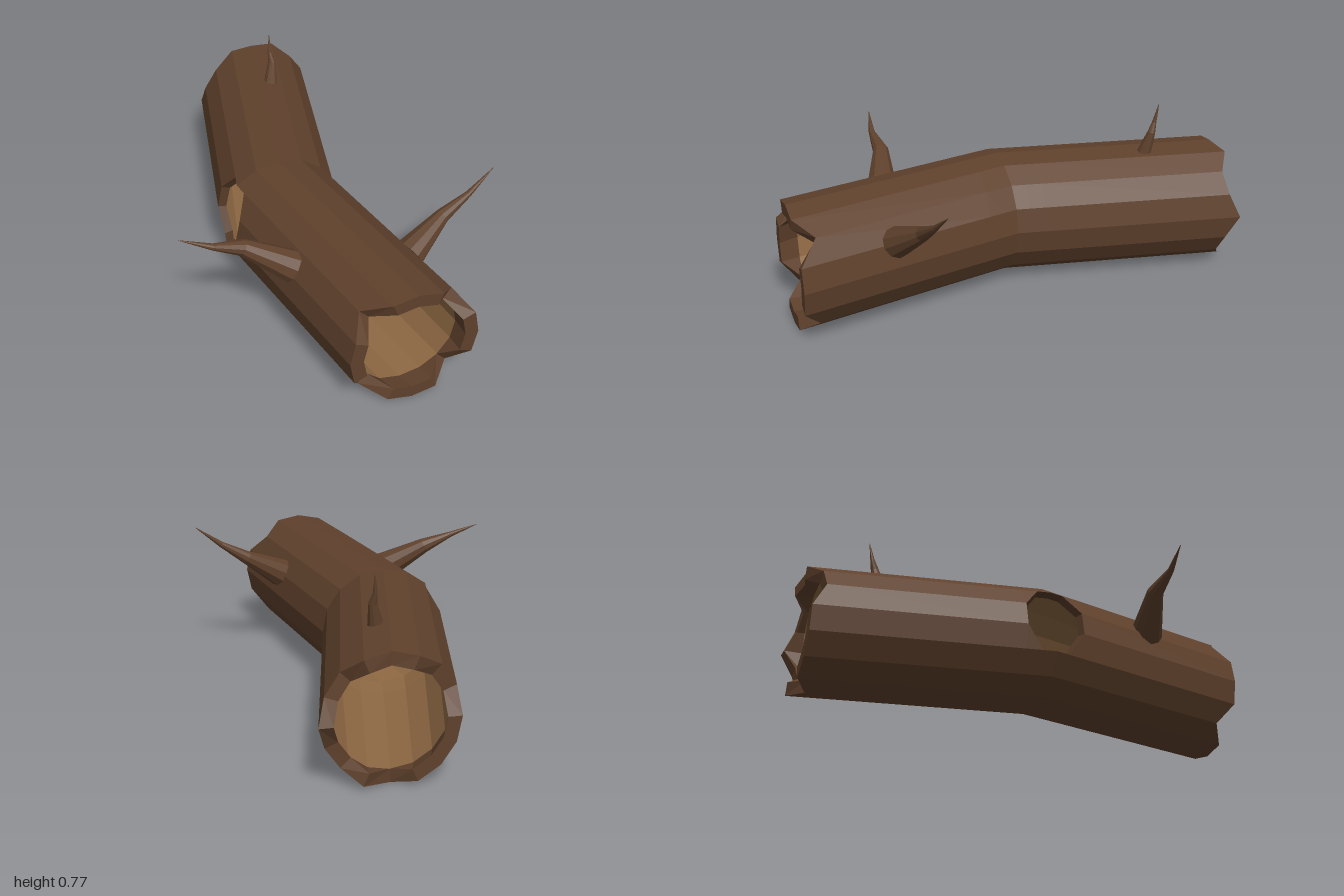
import * as THREE from 'three';

const SIDES = 16, R = 0.2775, LIP = 0.22;

const mat = (name, color) => Object.assign(new THREE.MeshStandardMaterial({ color, flatShading: true }), { name });

// Skin consecutive closed loops; drop(row, i) gives -1 to omit a cell, 0-3 to cut one corner
function loft(rows, flip = false, drop = () => null) {
  const pos = [];
  const tri = (a, b, c) => (flip ? [a, c, b] : [a, b, c]).forEach(p => pos.push(p.x, p.y, p.z));
  for (let j = 0; j < rows.length - 1; j++) {
    const n = rows[j].length;
    for (let i = 0; i < n; i++) {
      const k = (i + 1) % n, d = drop(j, i);
      const q = [rows[j][i], rows[j][k], rows[j + 1][k], rows[j + 1][i]];
      if (d === -1) continue;
      if (d === null) {
        tri(q[0], q[1], q[2]);
        tri(q[0], q[2], q[3]);
      } else tri(...q.filter((_, m) => m !== d));
    }
  }
  const g = new THREE.BufferGeometry();
  g.setAttribute('position', new THREE.Float32BufferAttribute(pos, 3));
  g.computeVertexNormals();
  return g;
}

// Point on the bent log
function logPoint(i, z, r) {
  const a = i / SIDES * Math.PI * 2;
  const cx = 0.105 - 0.21 * (1 - Math.abs(z));
  return new THREE.Vector3(cx + r * Math.cos(a), R + r * Math.sin(a), z);
}
const ring = (r, z) => Array.from({ length: SIDES }, (_, i) => logPoint(i, typeof z === 'function' ? z(i) : z, r));

// Broken ends: depth of the notch at each corner
const frontNotch = { 2: 0.08, 6: 0.08, 10: 0.075, 14: 0.075 };
const backNotch = { 1: 0.045, 2: 0.055, 4: 0.02, 6: 0.05, 7: 0.055, 12: 0.055, 14: 0.055, 15: 0.05 };
const frontZ = i => 1 - (frontNotch[i] || 0);
const backZ = i => -1 + (backNotch[i] || 0);

// Knothole: an octagon cut from the cells around the outer side of the bend
const holeZ = [-0.13, -0.06, 0, 0.06, 0.13];
const knot = first => (j, i) => {
  const c = j - first;
  if (c < 0 || c > 3 || i < 6 || i > 8) return null;
  if (c === 0 && i !== 7) return i === 6 ? 2 : 3;
  if (c === 3 && i !== 7) return i === 6 ? 1 : 0;
  return -1;
};

// Tapered, crooked twig through points [x, y, z, radius]
function twig(points) {
  const p = points.map(q => new THREE.Vector3(q[0], q[1], q[2]));
  const rows = p.map((c, j) => {
    const t = p[Math.min(j + 1, p.length - 1)].clone().sub(p[Math.max(j - 1, 0)]).normalize();
    const u = new THREE.Vector3(0, 0, 1).cross(t).normalize();
    const v = t.clone().cross(u);
    return Array.from({ length: 10 }, (_, i) => {
      const a = i / 10 * Math.PI * 2, r = points[j][3];
      return c.clone().addScaledVector(u, r * Math.cos(a)).addScaledVector(v, r * Math.sin(a));
    });
  });
  rows.unshift(p.slice(0, 1).flatMap(c => Array(10).fill(c)));
  return loft(rows);
}

export function createModel() {
  const group = new THREE.Group();
  const bark = mat('bark', 0x5f412c);
  const wood = mat('innerWood', 0x906a44);
  const rim = mat('knotholeRim', 0x553a27);
  rim.side = THREE.DoubleSide;
  const add = (name, geometry, material) => {
    const m = new THREE.Mesh(geometry, material);
    m.name = name;
    group.add(m);
  };

  // Bark with thick jagged rims turned into both ends
  add('bark', loft([
    ring(0.235, -0.92), ring(LIP, backZ), ring(R, backZ),
    ...holeZ.map(z => ring(R, z)),
    ring(R, frontZ), ring(LIP, frontZ), ring(0.235, 0.915),
  ], false, knot(3)), bark);

  // Pale hollow inside
  add('hollow', loft([
    ring(0.235, -0.92), ...holeZ.map(z => ring(0.271, z)), ring(0.235, 0.915),
  ], true, knot(1)), wood);

  // Rim of the knothole, stepping inward
  const edge = [[6, -0.06], [6, 0], [6, 0.06], [7, 0.13], [8, 0.13], [9, 0.06], [9, 0], [9, -0.06], [8, -0.13], [7, -0.13]]
    .map(([i, z]) => logPoint(i, z, R));
  const inner = edge.map(p => new THREE.Vector3(p.x + 0.035, 0.322 + (p.y - 0.322) * 0.92, p.z * 0.9));
  add('knotholeRim', loft([edge, inner]), rim);

  // Twigs
  add('rightTwig', twig([
    [-0.225, 0.4, 0.505, 0.072], [-0.42, 0.515, 0.45, 0.036], [-0.55, 0.56, 0.455, 0.014], [-0.68, 0.612, 0.43, 0.001],
  ]), bark);
  add('leftTwig', twig([
    [0.27, 0.385, 0.58, 0.068], [0.44, 0.49, 0.52, 0.032], [0.56, 0.565, 0.51, 0.014], [0.68, 0.66, 0.49, 0.001],
  ]), bark);
  add('topTwig', twig([
    [0.085, 0.53, -0.65, 0.034], [0.102, 0.635, -0.675, 0.018], [0.096, 0.68, -0.69, 0.01], [0.1, 0.766, -0.707, 0.001],
  ]), bark);

  return group;
}
